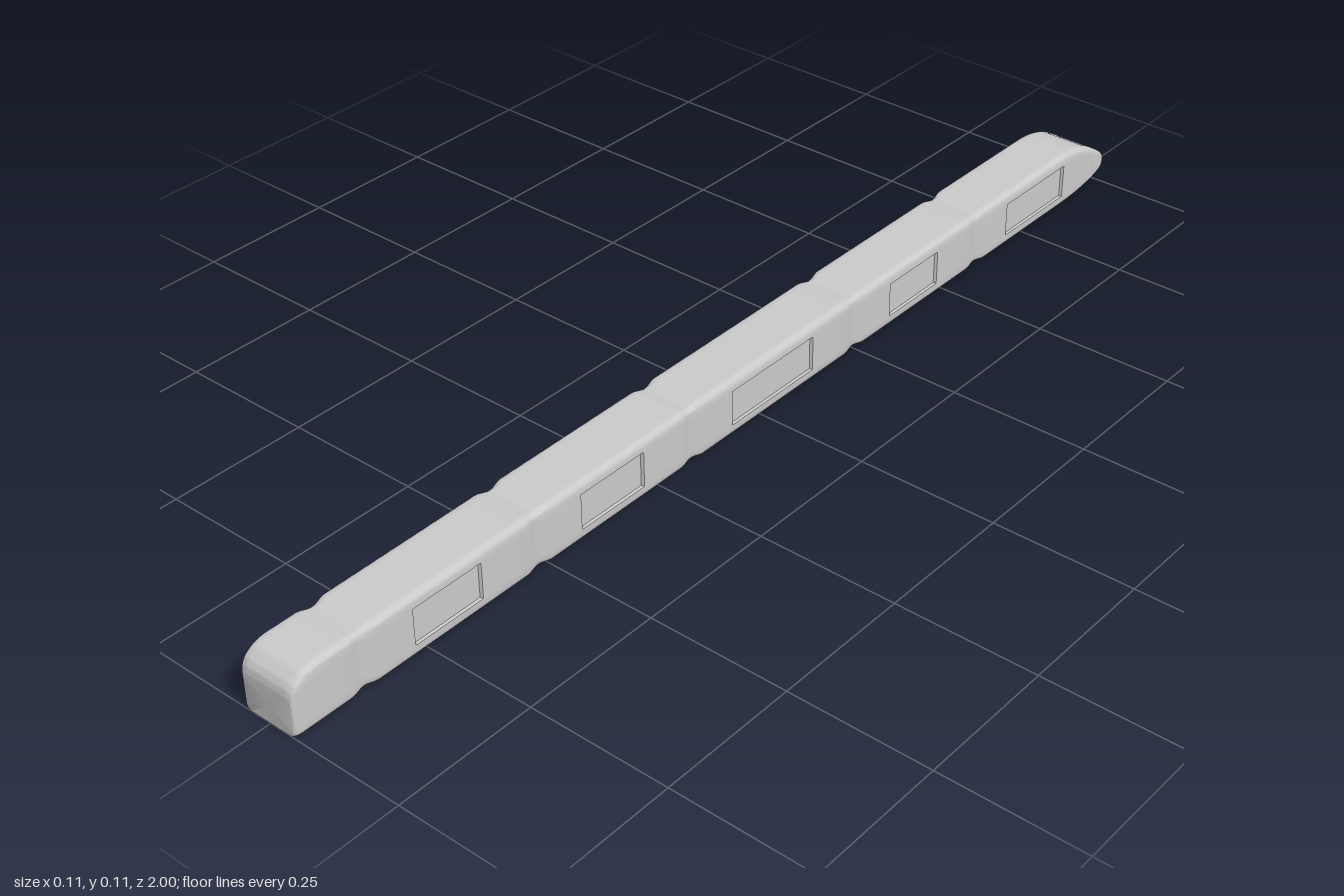
import * as THREE from 'three';
import { toCreasedNormals } from 'three/addons/utils/BufferGeometryUtils.js';

const WINDOWS = [[0.64, 0.775], [0.29, 0.43], [-0.125, 0.08], [-0.47, -0.335], [-0.86, -0.68]];
const GROOVES = [0.87, 0.52, 0.175, -0.24, -0.59];
const SCREEN = [-0.984, -0.94];
const EPS = 0.002, inside = (v, [a, b]) => v > a + EPS / 2 && v < b - EPS / 2;

// Outline of the body at a given z: half width, bottom, top
function outline(z) {
  let groove = 0;
  for (const g of GROOVES) {
    const d = Math.abs(z - g) / 0.028;
    if (d < 1) groove = 0.004 * (0.5 + 0.5 * Math.cos(Math.PI * d));
  }
  const k = (1 - z) / 2; // the body rises slightly toward the nose
  let w = 0.053 - groove, yb = 0.003 + 0.011 * k + groove * 0.6, yt = 0.108 + 0.007 * k - groove;
  const tail = Math.min(1, Math.max(0, (z - 0.95) / 0.05));
  yt -= 0.04 * (1 - Math.sqrt(1 - tail * tail));
  const nose = Math.min(1, Math.max(0, (-0.86 - z) / 0.14));
  yt -= 0.054 * Math.pow(nose, 2.2);
  yb += 0.031 * (1 - Math.sqrt(1 - nose * nose));
  const end = Math.max(0, (Math.abs(z) - 0.985) / 0.015);
  w -= 0.006 * (1 - Math.sqrt(Math.max(0, 1 - end * end)));
  return { w, yb, yt };
}

// One rounded cross-section, counter-clockwise, with window and windscreen recesses
function section(z) {
  const { w, yb, yt } = outline(z);
  const r = Math.min(0.009, 0.45 * (yt - yb));
  const inset = WINDOWS.some(win => inside(z, win)) ? 0.005 : 0;
  const drop = inside(z, SCREEN) ? 0.005 : 0;
  const lo = yb + r, hi = yt - r, pts = [];
  const corner = (cx, cy, start) => {
    for (let i = 0; i <= 4; i++) {
      const a = start + (i / 4) * Math.PI / 2;
      pts.push([cx + r * Math.cos(a), cy + r * Math.sin(a)]);
    }
  };
  const side = [[0.12, 0], [0.13, 1], [0.86, 1], [0.87, 0]];
  corner(w - r, lo, -Math.PI / 2);
  for (const [t, on] of side) pts.push([w - inset * on, lo + (hi - lo) * t]);
  corner(w - r, hi, 0);
  for (const [x, on] of [[0.037, 0], [0.036, 1], [-0.036, 1], [-0.037, 0]]) pts.push([x, yt - drop * on]);
  corner(-w + r, hi, Math.PI / 2);
  for (const [t, on] of side.slice().reverse()) pts.push([-w + inset * on, lo + (hi - lo) * t]);
  corner(-w + r, lo, Math.PI);
  return pts;
}

// Stations along the length, denser at the ends, grooves and recess edges
function stations() {
  const zs = [];
  for (let i = 0; i <= 12; i++) {
    const s = Math.sin((i / 12) * Math.PI / 2);
    zs.push(0.95 + 0.05 * s);
  }
  for (let i = 0; i <= 20; i++) zs.push(-0.86 - 0.14 * Math.sin((i / 20) * Math.PI / 2));
  for (const g of GROOVES) for (let i = -6; i <= 6; i++) zs.push(g + (i / 6) * 0.028);
  for (const [a, b] of [...WINDOWS, SCREEN]) zs.push(a, a + EPS, b - EPS, b);
  zs.sort((a, b) => b - a);
  return zs.filter((z, i) => i === 0 || zs[i - 1] - z > 1e-6);
}

function bodyGeometry() {
  const zs = stations(), pos = [], idx = [];
  let n = 0;
  for (const z of zs) {
    const ring = section(z);
    n = ring.length;
    for (const [x, y] of ring) pos.push(x, y, z);
  }
  for (let i = 0; i < zs.length - 1; i++) {
    for (let j = 0; j < n; j++) {
      const a = i * n + j, b = i * n + (j + 1) % n, c = a + n, d = b + n;
      idx.push(a, c, b, b, c, d);
    }
  }
  // End caps
  const last = (zs.length - 1) * n, centre = pos.length / 3;
  for (const z of [1, -1]) {
    const { yb, yt } = outline(z);
    pos.push(0, (yb + yt) / 2, z);
  }
  for (let j = 0; j < n; j++) {
    const k = (j + 1) % n;
    idx.push(centre, j, k, centre + 1, last + k, last + j);
  }
  const geo = new THREE.BufferGeometry();
  geo.setAttribute('position', new THREE.Float32BufferAttribute(pos, 3));
  geo.setIndex(idx);
  return toCreasedNormals(geo, Math.PI / 6);
}

export function createModel() {
  const group = new THREE.Group();
  group.name = 'railcar';
  const body = new THREE.Mesh(bodyGeometry(), new THREE.MeshStandardMaterial({ color: 0xcccccc }));
  body.name = 'carBody';
  group.add(body);
  return group;
}
